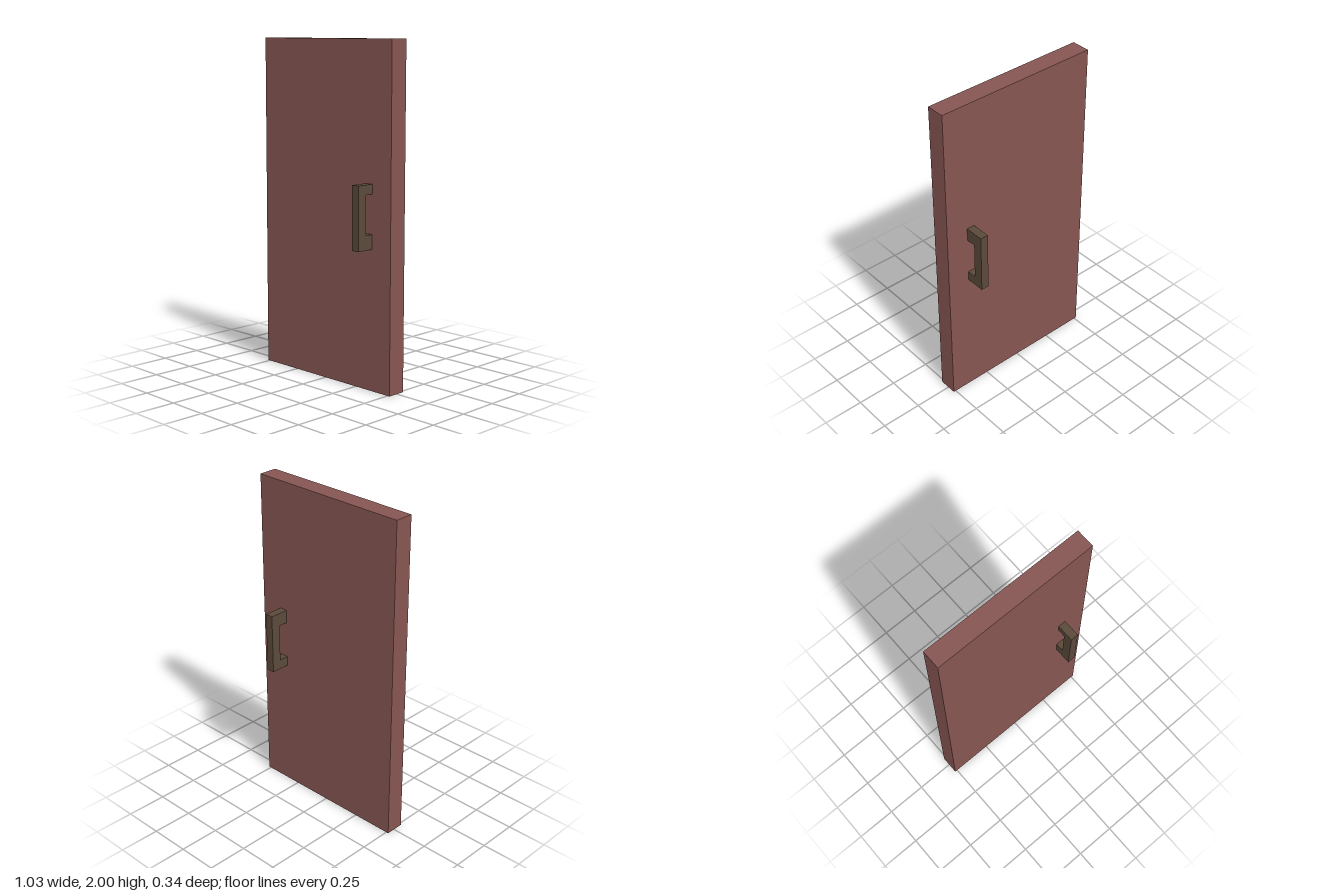
import * as THREE from 'three';

const doorMaterial = new THREE.MeshStandardMaterial({ color: 0x875652 });
doorMaterial.name = 'reddish brown door';
const handleMaterial = new THREE.MeshStandardMaterial({ color: 0x5b4a3a });
handleMaterial.name = 'dark bronze handle';

const FRONT = 0.062, BACK = -0.053;   // door faces
const BOTTOM = 0.826, TOP = 1.197;    // handle ends
const HANDLE_WIDTH = 0.05, HANDLE_LEFT = 0.374;

// C-shaped pull: side profile drawn in (z, y), extruded across x
function makeHandle(name, face, grip, outer, gapBottom, gapTop) {
  const profile = new THREE.Shape([
    [face, BOTTOM], [outer, BOTTOM], [outer, TOP], [face, TOP],
    [face, gapTop], [grip, gapTop], [grip, gapBottom], [face, gapBottom],
  ].map(([z, y]) => new THREE.Vector2(z, y)));
  const geometry = new THREE.ExtrudeGeometry(profile, { depth: HANDLE_WIDTH, bevelEnabled: false });
  geometry.rotateY(-Math.PI / 2);
  geometry.translate(HANDLE_LEFT, 0, 0);
  const mesh = new THREE.Mesh(geometry, handleMaterial);
  mesh.name = name;
  return mesh;
}

export function createModel() {
  const group = new THREE.Group();
  group.name = 'door';

  // Plain slab
  const panel = new THREE.Mesh(new THREE.BoxGeometry(1.03, 2, FRONT - BACK), doorMaterial);
  panel.name = 'doorPanel';
  panel.position.set(0, 1, (FRONT + BACK) / 2);
  group.add(panel);

  // One pull on each side
  group.add(makeHandle('frontHandle', FRONT, 0.113, 0.172, 0.912, 1.141));
  group.add(makeHandle('backHandle', BACK, -0.112, -0.172, 0.886, 1.116));
  return group;
}
